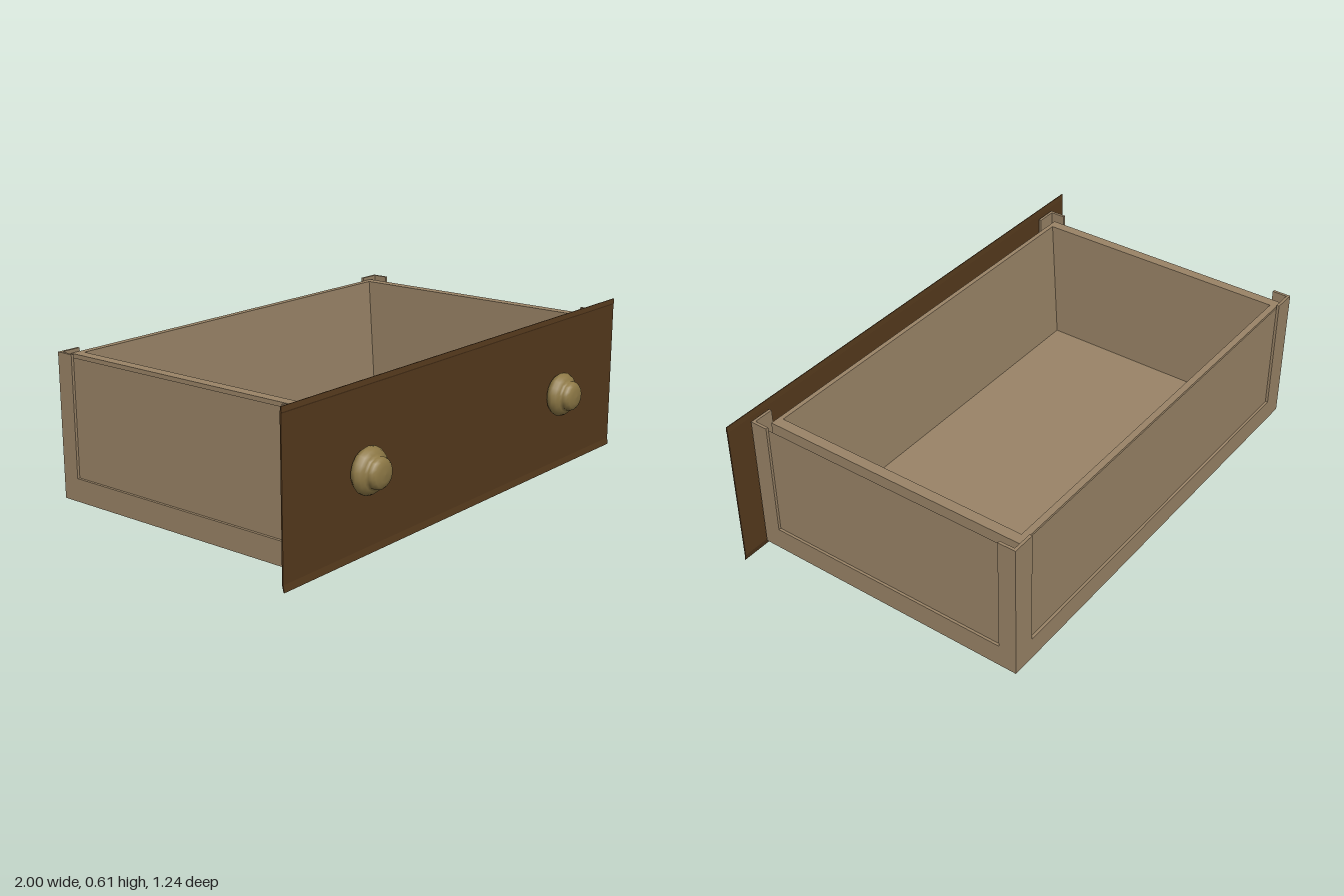
import * as THREE from 'three';

const mat = (name, color, side = THREE.FrontSide) => {
  const m = new THREE.MeshStandardMaterial({ color, side });
  m.name = name;
  return m;
};

export function createModel() {
  const group = new THREE.Group();
  const wood = mat('paleWood', 0x9a8467);
  const darkWood = mat('darkWood', 0x563a1d, THREE.DoubleSide);
  const brass = mat('agedBrass', 0x8e7946);

  const add = (name, geo, material) => {
    const m = new THREE.Mesh(geo, material);
    m.name = name;
    group.add(m);
    return m;
  };
  // Box given by its limits
  const box = (name, x0, x1, y0, y1, z0, z1) =>
    add(name, new THREE.BoxGeometry(x1 - x0, y1 - y0, z1 - z0), wood)
      .position.set((x0 + x1) / 2, (y0 + y1) / 2, (z0 + z1) / 2);
  // Profile of [z, y] points, extruded along x and centred
  const profileX = (name, pts, width, material) => {
    const shape = new THREE.Shape(pts.map(([z, y]) => new THREE.Vector2(z, y)));
    const geo = new THREE.ExtrudeGeometry(shape, { depth: width, bevelEnabled: false });
    geo.translate(0, 0, -width / 2).rotateY(-Math.PI / 2);
    return add(name, geo, material);
  };

  const X = 0.9, BACK = -0.617, FRONT = 0.509, Y0 = 0.032, TOP = 0.578, WALL = 0.566;

  // Outward-facing skin, turned about y and centred on (x, z)
  const skin = (name, width, x, z, turn) => {
    const m = add(name, new THREE.PlaneGeometry(width, WALL - 0.1), wood);
    m.position.set(x, (WALL + 0.1) / 2, z);
    m.rotation.y = turn;
  };

  // Floor, slightly recessed below
  box('floor', -0.82, 0.82, 0.04, 0.06, -0.58, 0.45);

  // End walls with leaning inner faces
  profileX('backWall', [[-0.602, 0.045], [-0.543, 0.045], [-0.577, WALL], [-0.602, WALL]], 1.63, wood);
  profileX('frontWall', [[0.41, 0.045], [0.46, 0.045], [0.46, WALL], [0.442, WALL]], 1.63, wood);
  // Outer skins of the ends
  skin('backPanel', 1.78, 0, BACK + 0.01, Math.PI);
  skin('frontPanel', 1.78, 0, FRONT - 0.01, 0);

  for (const s of [-1, 1]) {
    const sideBox = (name, a, b, ...rest) => box(name, Math.min(s * a, s * b), Math.max(s * a, s * b), ...rest);
    // Inner wall, outer skin and lower rail of each side
    sideBox('sideWall', 0.813, 0.853, 0.045, WALL, -0.602, 0.46);
    skin('sidePanel', FRONT - BACK - 0.02, s * 0.89, (FRONT + BACK) / 2, s * Math.PI / 2);
    sideBox('sideRail', 0.82, X, Y0, 0.12, BACK, FRONT);
    // Thin corner posts wrapped around the skins
    sideBox('backPostSide', 0.889, X, Y0, TOP, BACK, -0.547);
    sideBox('backPostEnd', 0.81, X, Y0, TOP, BACK, BACK + 0.011);
    sideBox('frontPostSide', 0.889, X, Y0, TOP, 0.439, FRONT);
    sideBox('frontPostEnd', 0.81, X, Y0, TOP, FRONT - 0.011, FRONT);
  }

  // Lower rails at the back and front
  box('backRail', -X, X, Y0, 0.12, BACK, -0.58);
  box('frontRail', -X, X, Y0, 0.12, 0.45, FRONT);
  // Underside borders
  box('backBorder', -0.82, 0.82, Y0, 0.05, -0.6, -0.545);
  box('frontBorder', -0.82, 0.82, Y0, 0.05, 0.435, 0.5);

  // Thin face board with turned edges
  profileX('faceBoard', [
    [0.527, 0], [0.53, 0], [0.526, 0.025], [0.526, 0.585], [0.528, 0.59], [0.526, 0.608],
    [0.523, 0.608], [0.521, 0.585], [0.521, 0.025],
  ], 2, darkWood);

  // Turned knobs: broad rounded collar and domed cap
  const knobProfile = [
    [0, -0.012], [0.015, -0.012], [0.015, 0], [0.06, 0], [0.074, 0.01],
    [0.084, 0.024], [0.084, 0.036], [0.076, 0.05], [0.064, 0.058], [0.056, 0.062],
    [0.057, 0.07], [0.054, 0.082], [0.045, 0.091], [0.027, 0.096], [0, 0.098],
  ].map(([r, y]) => new THREE.Vector2(r, y));
  for (const x of [-0.602, 0.582]) {
    const knob = add('knob', new THREE.LatheGeometry(knobProfile, 18).rotateX(Math.PI / 2), brass);
    knob.position.set(x, 0.306, 0.523);
  }

  return group;
}
